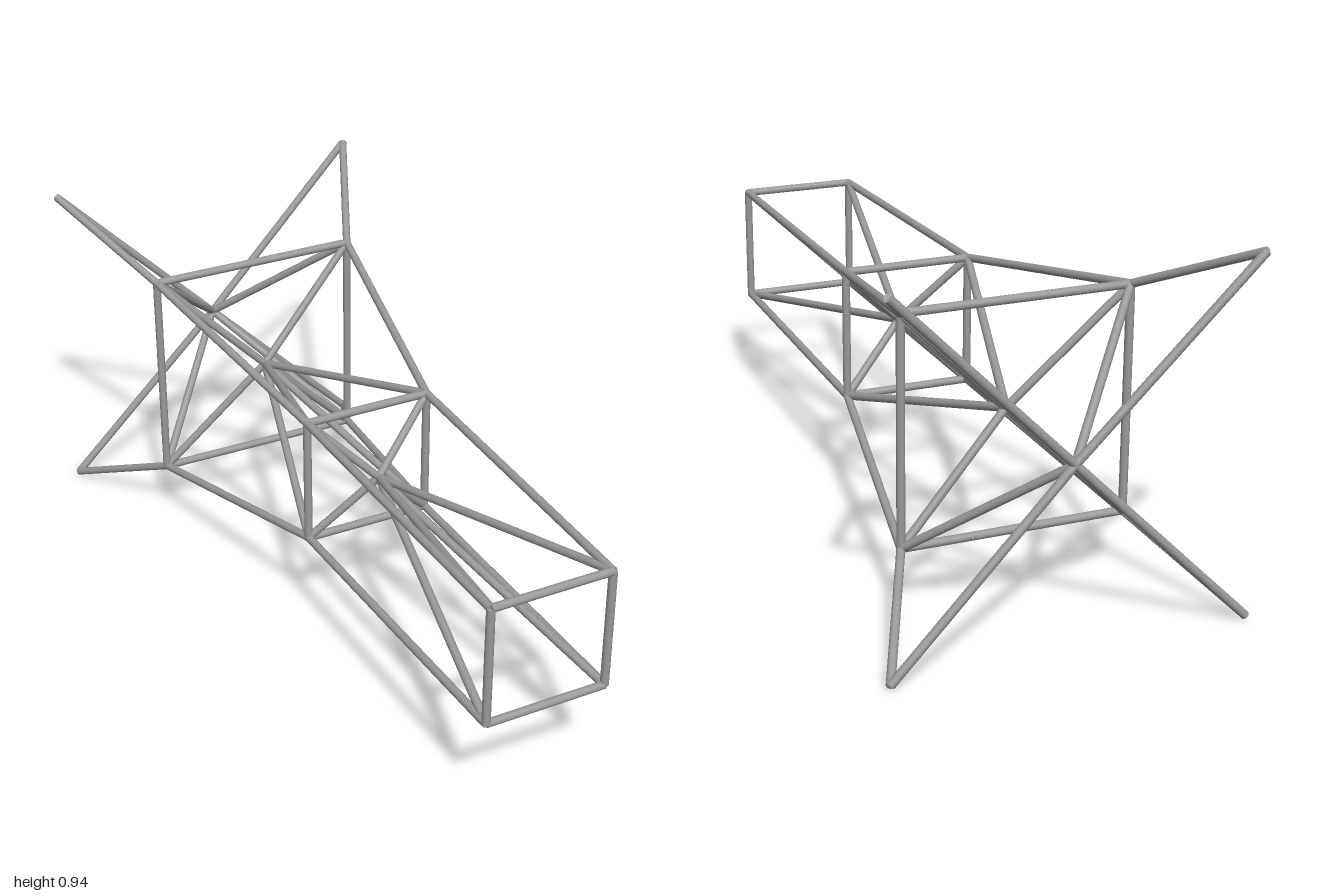
import * as THREE from 'three';

const MID = 0.472; // height of the long axis
const R = 0.011; // tube radius
const UP = new THREE.Vector3(0, 1, 0);

export function createModel() {
  const model = new THREE.Group();
  model.name = 'trussFrame';
  const steel = new THREE.MeshStandardMaterial({ color: 0x999999 });
  steel.name = 'steelGrey';

  // Round tube between two joints
  function tube(name, a, b, parent) {
    const dir = b.clone().sub(a);
    const mesh = new THREE.Mesh(new THREE.CylinderGeometry(R, R, dir.length(), 12), steel);
    mesh.name = name;
    mesh.position.copy(a).add(b).multiplyScalar(0.5);
    mesh.quaternion.setFromUnitVectors(UP, dir.normalize());
    parent.add(mesh);
  }

  // Four corner joints of a square station, in order around the axis
  const corners = (half, z) => [[1, 1], [-1, 1], [-1, -1], [1, -1]]
    .map(([x, y]) => new THREE.Vector3(x * half, MID + y * half, z));

  const stations = [
    corners(0.164, 0.985), // front
    corners(0.177, 0.067),
    corners(0.3, -0.645),
    corners(0.461, -0.989), // flared tips
  ];
  // Central joints, one per bay
  const hubs = [0.133, -0.585, -0.969].map((z) => new THREE.Vector3(0, MID, z));

  // Square frames on all but the last station
  stations.slice(0, 3).forEach((s, n) => {
    const frame = new THREE.Group();
    frame.name = `squareFrame${n + 1}`;
    s.forEach((p, i) => tube('frameBar', p, s[(i + 1) % 4], frame));
    model.add(frame);
  });

  // Each bay: four outer rails, and braces from both ends to the hub
  hubs.forEach((hub, n) => {
    const bay = new THREE.Group();
    bay.name = `bay${n + 1}`;
    for (let i = 0; i < 4; i++) {
      const a = stations[n][i], b = stations[n + 1][i];
      tube('outerRail', a, b, bay);
      tube('frontBrace', a, hub, bay);
      tube('rearBrace', b, hub, bay);
    }
    model.add(bay);
  });

  return model;
}
